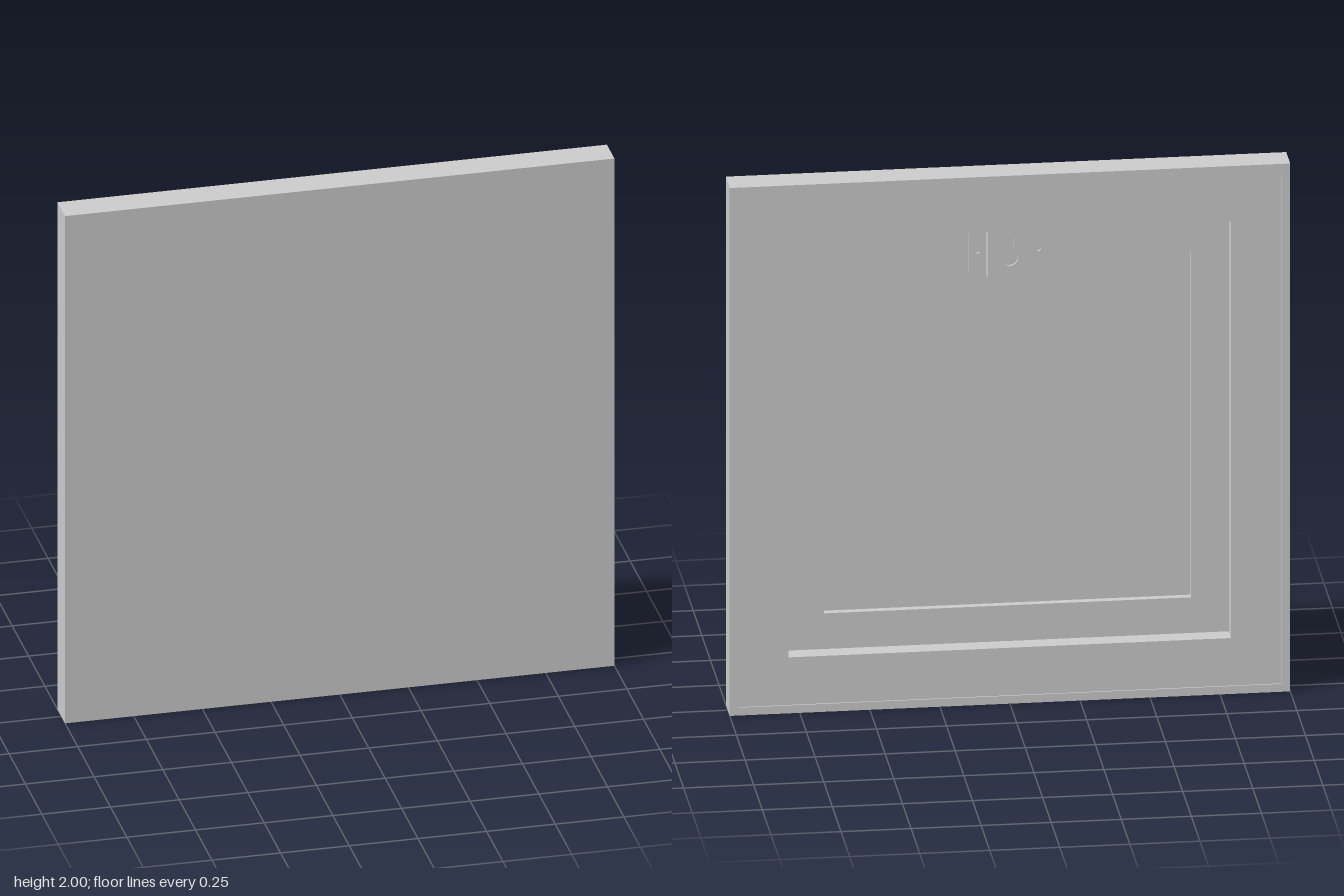
import * as THREE from 'three';

const material = new THREE.MeshStandardMaterial({ color: 0xcccccc });
const BACK = -0.0575, FRONT = 0.0575, MID = 1;

// Add a named mesh to a parent
function add(parent, name, geometry, x = 0, y = 0, z = 0) {
  const mesh = new THREE.Mesh(geometry, material);
  mesh.name = name;
  mesh.position.set(x, y, z);
  parent.add(mesh);
}

// Rectangle outline from its limits
function rectPoints(x0, x1, y0, y1) {
  return [[x0, y0], [x1, y0], [x1, y1], [x0, y1]].map(([x, y]) => new THREE.Vector2(x, y));
}

// Extrude a shape between two z planes
function slab(shape, z0, z1) {
  return new THREE.ExtrudeGeometry(shape, { depth: z1 - z0, bevelEnabled: false, curveSegments: 12 })
    .translate(0, 0, z0);
}

// Square ring given by outer and inner half widths
function squareRing(outer, inner, z0, z1) {
  const shape = new THREE.Shape(rectPoints(-outer, outer, MID - outer, MID + outer));
  shape.holes.push(new THREE.Path(rectPoints(-inner, inner, MID - inner, MID + inner)));
  return slab(shape, z0, z1);
}

// Keyhole hanger: raised plate, two side walls, two screw flanges
function createHanger(ledgeZ) {
  const hanger = new THREE.Group();
  hanger.name = 'hanger';
  const bottom = 1.61, top = 1.79, half = 0.078, t = 0.01, plateZ = BACK + 0.009;

  const plate = new THREE.Shape(rectPoints(-half, half, bottom, top));
  const keyhole = new THREE.Path();
  const gap = Math.asin(0.013 / 0.03);
  keyhole.absarc(0, 1.685, 0.03, Math.PI / 2 + gap, Math.PI * 2.5 - gap, false);
  keyhole.absarc(0, 1.757, 0.013, 0, Math.PI, false);
  keyhole.closePath();
  plate.holes.push(keyhole);
  add(hanger, 'hangerPlate', slab(plate, plateZ, plateZ + t));

  for (const side of [-1, 1]) {
    const wallDepth = ledgeZ - plateZ - t;
    add(hanger, 'hangerWall', new THREE.BoxGeometry(t, top - bottom, wallDepth),
      side * (half - t / 2), (top + bottom) / 2, ledgeZ - wallDepth / 2);

    const flange = new THREE.Shape(rectPoints(-0.031, 0.031, bottom, top));
    const screwHole = new THREE.Path();
    screwHole.absarc(0, 1.695, 0.009, 0, Math.PI * 2, true);
    flange.holes.push(screwHole);
    add(hanger, 'hangerFlange', slab(flange, ledgeZ - t, ledgeZ), side * (half + 0.031));
  }
  return hanger;
}

export function createModel() {
  const model = new THREE.Group();
  model.name = 'wallPanel';
  const ledgeZ = BACK + 0.073, floorZ = BACK + 0.1;

  // Front panel and the thin rim folded around its edges
  add(model, 'frontPanel', new THREE.BoxGeometry(2, 2, FRONT - floorZ), 0, MID, (FRONT + floorZ) / 2);
  add(model, 'outerRim', squareRing(1, 0.97, BACK, floorZ));

  // Stepped frame set into the back
  add(model, 'backFrame', squareRing(0.97, 0.79, BACK + 0.005, ledgeZ));
  add(model, 'innerLedge', squareRing(0.97, 0.655, ledgeZ, floorZ));

  model.add(createHanger(ledgeZ));
  return model;
}
